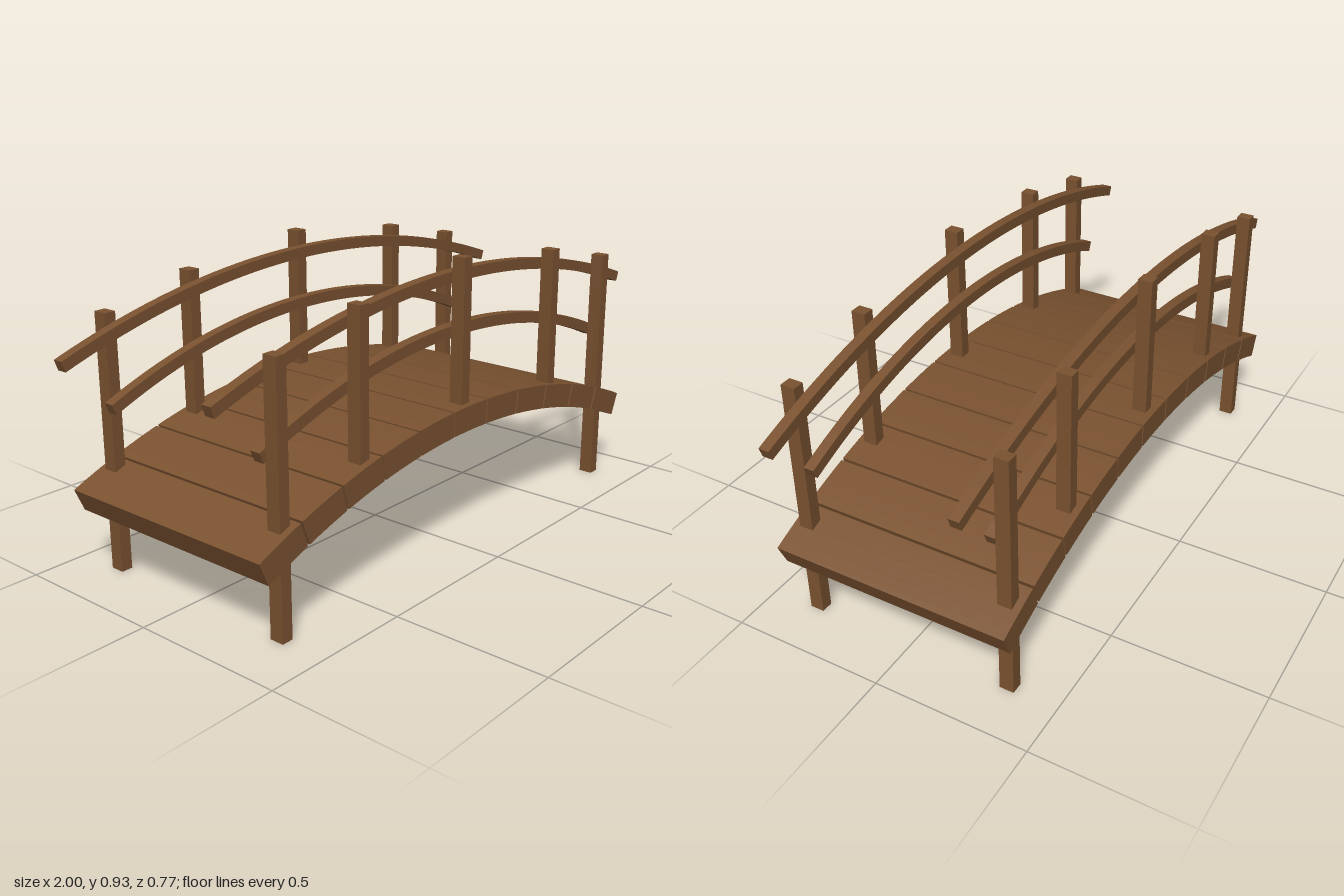
import * as THREE from 'three';

const wood = new THREE.MeshStandardMaterial({ color: 0x7a5230, flatShading: true });

// Arched bar: crown at height topY, outer radius, thickness, between two angles from vertical
function archedBar(name, topY, radius, thickness, a0, a1, depth, z, segments) {
  const shape = new THREE.Shape();
  const up = Math.PI / 2;
  shape.absarc(0, 0, radius, up - a0, up - a1, true);
  shape.absarc(0, 0, radius - thickness, up - a1, up - a0, false);
  shape.closePath();
  const geometry = new THREE.ExtrudeGeometry(shape, { depth, bevelEnabled: false, curveSegments: segments });
  geometry.translate(0, topY - radius, z - depth / 2);
  const mesh = new THREE.Mesh(geometry, wood);
  mesh.name = name;
  return mesh;
}

function post(name, x, y0, y1, z) {
  const mesh = new THREE.Mesh(new THREE.BoxGeometry(0.038, y1 - y0, 0.046), wood);
  mesh.position.set(x, (y0 + y1) / 2, z);
  mesh.name = name;
  return mesh;
}

export function createModel() {
  const bridge = new THREE.Group();
  bridge.name = 'archedFootbridge';

  // Deck: eleven planks along an arc
  const deck = new THREE.Group();
  deck.name = 'deck';
  const radius = 2.3, count = 11, halfAngle = Math.asin(0.92 / radius);
  const step = (2 * halfAngle) / count, gap = 0.0035;
  for (let i = 0; i < count; i++) {
    const start = -halfAngle + i * step;
    const a0 = i === 0 ? start : start + gap / 2;
    const a1 = i === count - 1 ? start + step : start + step - gap / 2;
    deck.add(archedBar('plank' + (i + 1), 0.475, radius, 0.08, a0, a1, 0.77, 0, 3));
  }
  bridge.add(deck);

  // Railings: x, bottom and top of each post; the outer posts reach the ground
  const posts = [
    [-0.8, 0, 0.81], [-0.476, 0.38, 0.88], [0, 0.42, 0.933], [0.492, 0.38, 0.88], [0.819, 0, 0.81],
  ];
  for (const side of [1, -1]) {
    const railing = new THREE.Group();
    railing.name = side > 0 ? 'frontRailing' : 'backRailing';
    posts.forEach(([x, y0, y1], i) => railing.add(post('post' + (i + 1), x, y0, y1, side * 0.339)));

    // Handrail and lower rail on the inner faces of the posts
    const top = Math.asin(1 / 3.01), low = Math.asin(0.84 / 2.16);
    railing.add(archedBar('handrail', 0.885, 3.01, 0.035, -top, top, 0.034, side * 0.299, 20));
    railing.add(archedBar('lowerRail', 0.717, 2.16, 0.036, -low, low, 0.034, side * 0.299, 20));
    bridge.add(railing);
  }
  return bridge;
}
